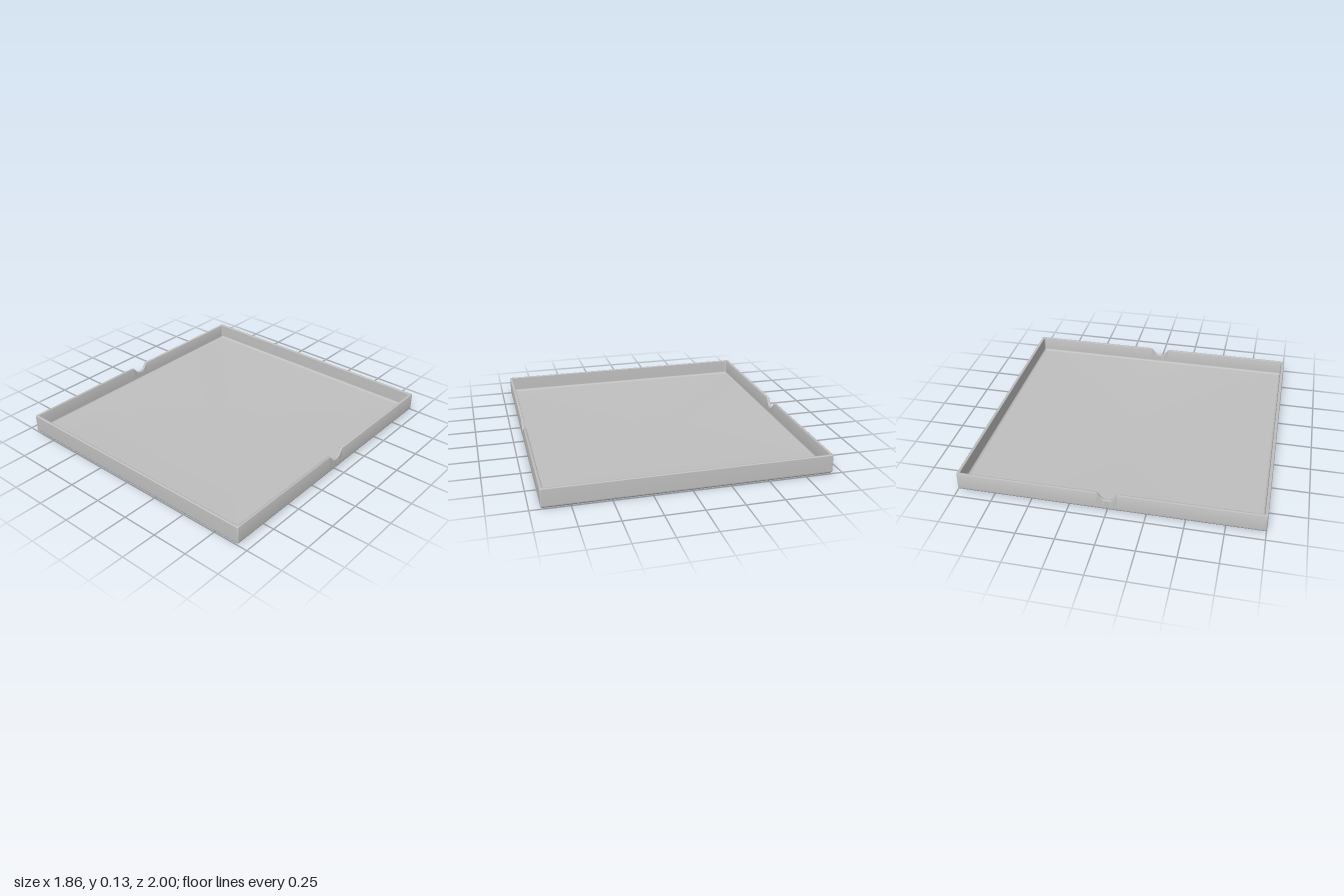
import * as THREE from 'three';
import { toCreasedNormals } from 'three/addons/utils/BufferGeometryUtils.js';

const HALF_X = 0.932, HALF_Z = 1, HEIGHT = 0.13, WALL = 0.02, FLOOR = 0.02;
const CORNER = 0.008, EDGE = 0.005, FILLET = 0.018;

// Half of the finger notch: distance from its middle, depth below the rim
const NOTCH = [[0.076, 0], [0.07, 0.001], [0.064, 0.005], [0.057, 0.013], [0.049, 0.025],
  [0.041, 0.036], [0.032, 0.045], [0.022, 0.05], [0.011, 0.0525], [0, 0.053]];

// Wall section as [inset, y, follows the notch], from under the base over the rim to the floor
function wallSection() {
  const points = [];
  const arc = (cx, cy, r, from, to, steps, rim) => {
    for (let i = 0; i <= steps; i++) {
      const a = THREE.MathUtils.degToRad(from + (to - from) * i / steps);
      points.push([cx + r * Math.cos(a), cy + r * Math.sin(a), rim]);
    }
  };
  points.push([FILLET + 0.004, 0, false]);
  arc(FILLET, FILLET, FILLET, 270, 180, 6, false);
  points.push([0, FILLET + 0.004, false], [0, HEIGHT - EDGE - 0.003, true]);
  arc(EDGE, HEIGHT - EDGE, EDGE, 180, 90, 4, true);
  arc(WALL - EDGE, HEIGHT - EDGE, EDGE, 90, 0, 4, true);
  points.push([WALL, HEIGHT - EDGE - 0.003, true], [WALL, FLOOR + 0.018, false]);
  arc(WALL + 0.014, FLOOR + 0.014, 0.014, 180, 270, 5, false);
  points.push([WALL + 0.018, FLOOR, false]);
  return points;
}

// One loop of the tray at a given inset and height
function ring([inset, y, followsNotch]) {
  const hx = HALF_X - inset, hz = HALF_Z - inset, points = [];
  const notch = (side) => {
    const half = NOTCH.map(([z, drop]) => [z, drop]);
    const full = [...half, ...half.slice(0, -1).reverse().map(([z, drop]) => [-z, drop])];
    for (const [z, drop] of full) points.push([side * hx, followsNotch ? y - drop : y, side * z]);
  };
  const corner = (sx, sz, start) => {
    for (let i = -1; i <= 5; i++) {
      const a = (start + Math.min(Math.max(i, 0), 4) / 4) * Math.PI / 2;
      const extra = i < 0 ? -0.004 : i > 4 ? 0.004 : 0;
      points.push([
        sx * (hx - CORNER) + CORNER * Math.cos(a) - extra * Math.sin(a), y,
        sz * (hz - CORNER) - CORNER * Math.sin(a) - extra * Math.cos(a),
      ]);
    }
  };
  notch(1);
  corner(1, -1, 0);
  corner(-1, -1, 1);
  notch(-1);
  corner(-1, 1, 2);
  corner(1, 1, 3);
  return points;
}

// Joins the loops and closes the first and last with a flat fan
function trayGeometry() {
  const rings = wallSection().map(ring);
  const count = rings[0].length, last = rings.length - 1;
  const positions = rings.flat(2);
  const under = rings.length * count, over = under + 1;
  positions.push(0, 0, 0, 0, FLOOR, 0);
  const index = [];
  for (let i = 0; i < count; i++) {
    const n = (i + 1) % count;
    for (let j = 0; j < last; j++) {
      const a = j * count + i, b = j * count + n, c = b + count, d = a + count;
      index.push(a, b, c, a, c, d);
    }
    index.push(under, n, i, over, last * count + i, last * count + n);
  }
  const geometry = new THREE.BufferGeometry();
  geometry.setAttribute('position', new THREE.Float32BufferAttribute(positions, 3));
  geometry.setIndex(index);
  return toCreasedNormals(geometry, THREE.MathUtils.degToRad(40));
}

export function createModel() {
  const grey = new THREE.MeshStandardMaterial({ color: 0xbfbfbf });
  grey.name = 'light grey';
  const tray = new THREE.Mesh(trayGeometry(), grey);
  tray.name = 'tray';
  const model = new THREE.Group();
  model.name = 'shallowTray';
  model.add(tray);
  return model;
}
